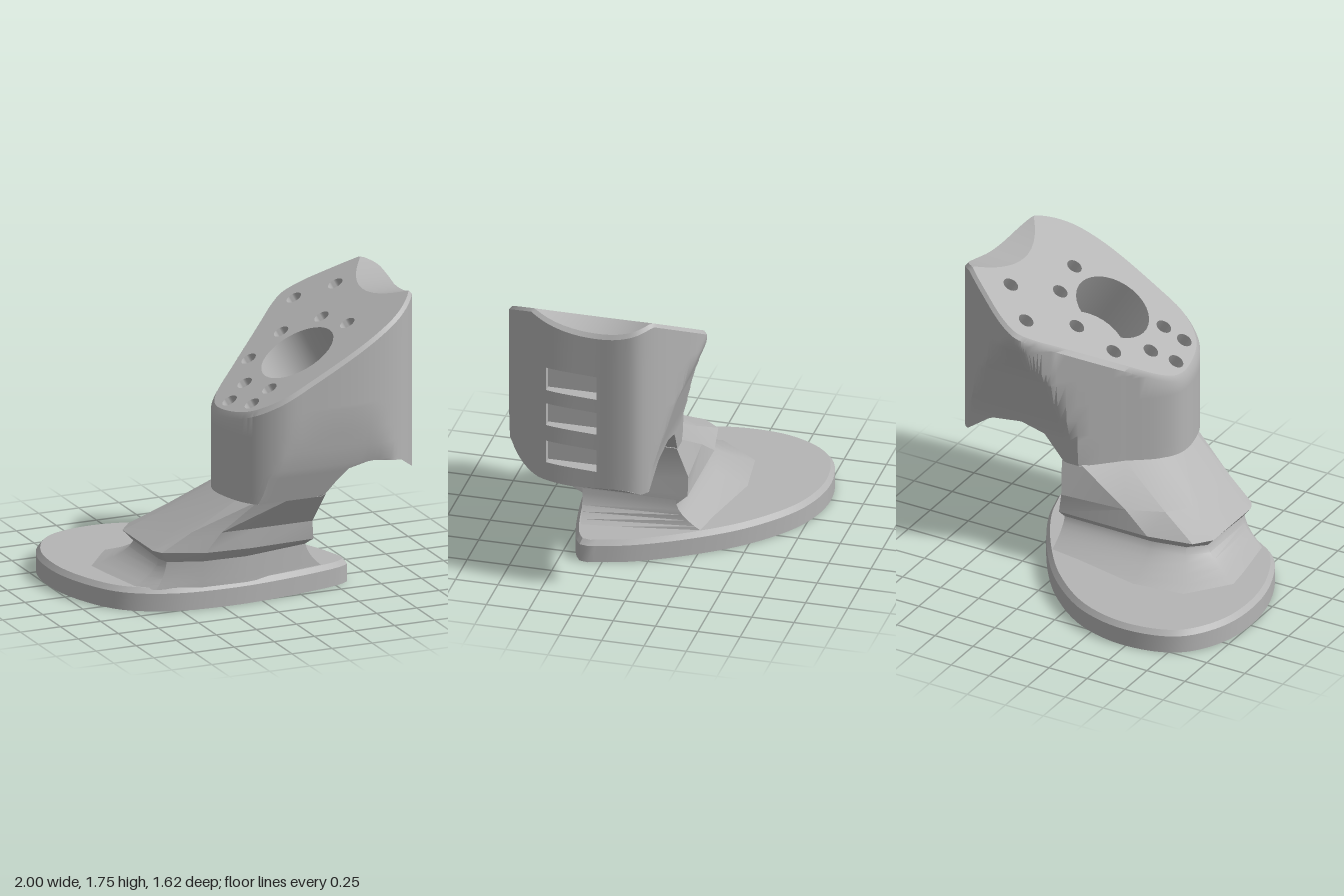
import * as THREE from 'three';
import { toCreasedNormals } from 'three/addons/utils/BufferGeometryUtils.js';

const grey = new THREE.MeshStandardMaterial({ color: 0xb4b4b4, side: THREE.DoubleSide });
grey.name = 'grey';

// Piecewise linear interpolation through [input, output] pairs
function interp(table, v) {
  for (let i = 1; i < table.length; i++) {
    const [a, fa] = table[i - 1], [b, fb] = table[i];
    if (v <= b) return fa + (fb - fa) * Math.max(0, (v - a) / (b - a));
  }
  return table[table.length - 1][1];
}

// Skin a stack of rings (arrays of Vector3), optionally closed, capped or with cells left out
function skin(rings, { closed = true, capStart = false, capEnd = false, skip = () => false, crease = 0.55 } = {}) {
  const pos = [];
  const tri = (a, b, c) => {
    const area = b.clone().sub(a).cross(c.clone().sub(a)).length();
    if (area > 1e-7) for (const p of [a, b, c]) pos.push(p.x, p.y, p.z);
  };
  const n = rings[0].length, cells = closed ? n : n - 1;
  for (let k = 0; k < rings.length - 1; k++) {
    for (let i = 0; i < cells; i++) {
      if (skip(i, k)) continue;
      const j = (i + 1) % n, lo = rings[k], hi = rings[k + 1];
      tri(lo[i], lo[j], hi[j]);
      tri(lo[i], hi[j], hi[i]);
    }
  }
  const fan = (ring, flip) => {
    const c = ring.reduce((s, p) => s.add(p), new THREE.Vector3()).divideScalar(n);
    ring.forEach((p, i) => {
      const q = ring[(i + 1) % n];
      if (flip) tri(q, p, c); else tri(p, q, c);
    });
  };
  if (capStart) fan(rings[0], true);
  if (capEnd) fan(rings[rings.length - 1], false);
  const geo = new THREE.BufferGeometry();
  geo.setAttribute('position', new THREE.Float32BufferAttribute(pos, 3));
  return toCreasedNormals(geo, crease);
}

const level = (pts, y) => pts.map(([x, z]) => new THREE.Vector3(x, y, z));
const inset = (ring, cx, cz, d, y) => ring.map((p) => {
  const dir = new THREE.Vector2(cx - p.x, cz - p.z).setLength(d);
  return new THREE.Vector3(p.x + dir.x, y ?? p.y, p.z + dir.y);
});

// Upper block: outline in x, z and its limits in height and depth
const OUTLINE = [[-0.15, 0.65], [0, 0.77], [0.2, 0.8], [0.55, 0.8], [0.75, 0.74], [0.88, 0.62], [0.945, 0.48],
  [0.985, 0.17], [0.998, 0.03], [0.985, -0.06], [0.93, -0.13], [0.75, -0.25], [0.6, -0.33], [0.5, -0.35],
  [0.42, -0.31], [0.3, -0.21], [0, 0.05], [-0.17, 0.21], [-0.22, 0.3], [-0.225, 0.42]];
const STEPS = 6, SLOT_A = 6 * STEPS, SLOT_B = 7 * STEPS;
const SLOTS = [[0.8, 0.94], [1.04, 1.18], [1.265, 1.41]];
const SLOPE = 0.556;
const plane = (x) => 1.258 + SLOPE * x;
const scoop = (z) => 1.68 + 0.07 * ((z - 0.22) / 0.33) ** 2;
const topY = (x, z) => Math.min(plane(x), scoop(z));
const bottomY = (x) => interp([[-1, 0.64], [0.3, 0.64], [0.33, 0.68], [0.42, 0.8], [0.57, 0.84], [0.77, 0.81],
  [0.93, 0.69], [0.97, 0.68], [1, 0.71]], x);
const frontZ = (y) => interp([[0.64, 0.7], [0.84, 0.765], [1.2, 0.815]], y);
const backZ = (y) => interp([[0.64, -0.12], [0.84, -0.14], [1.2, -0.24], [1.45, -0.34], [1.5, -0.36]], y);
const trimZ = (z, y) => THREE.MathUtils.clamp(z, backZ(y), frontZ(y));

// Holes in the sloping face: x, z, radius, depth
const HOLES = [[0.275, 0.39, 0.23, 0.31], ...[[0.51, -0.19], [0.7, -0.035], [0.32, 0.06], [0.1, 0.1], [0.51, 0.2],
  [-0.02, 0.315], [-0.145, 0.385], [0.56, 0.45], [0.03, 0.55], [-0.09, 0.575]].map(([x, z]) => [x, z, 0.046, 0.09])];

export function createModel() {
  const model = new THREE.Group();
  model.name = 'bracket';
  const add = (name, geo) => {
    const mesh = new THREE.Mesh(geo, grey);
    mesh.name = name;
    model.add(mesh);
    return mesh;
  };

  // Leaf-shaped foot plate with a bevelled upper rim
  const leaf = new THREE.CatmullRomCurve3(level([[0.6, 0.33], [0.53, 0.1], [0.35, -0.23], [0.12, -0.52], [-0.18, -0.74],
    [-0.5, -0.81], [-0.8, -0.73], [-0.96, -0.5], [-1, -0.2], [-0.94, 0.1], [-0.8, 0.35], [-0.55, 0.49], [-0.2, 0.53],
    [0.15, 0.5], [0.52, 0.42], [0.59, 0.38]], 0)).getPoints(90);
  const atY = (y) => leaf.map((p) => new THREE.Vector3(p.x, y, p.z));
  add('footPlate', skin([atY(0), atY(0.105), inset(leaf, -0.3, -0.1, 0.025, 0.135)], { capStart: true, capEnd: true }));

  // Neck flaring into the foot plate
  const neckTop = [[-0.56, 0.44], [-0.37, 0.51], [-0.1, 0.52], [0.3, 0.44], [0.3, -0.11], [-0.28, -0.12], [-0.48, -0.08],
    [-0.57, 0], [-0.58, 0.38]];
  const neckFoot = [[-0.63, 0.45], [-0.37, 0.51], [-0.1, 0.52], [0.42, 0.42], [0.3, -0.27], [-0.3, -0.4], [-0.62, -0.36],
    [-0.82, -0.1], [-0.74, 0.36]];
  const neck = [];
  for (let k = 0; k <= 6; k++) {
    const s = (1 - k / 6) ** 2;
    neck.push(level(neckTop.map(([x, z], i) => [x + (neckFoot[i][0] - x) * s, z + (neckFoot[i][1] - z) * s]),
      0.125 + 0.185 * k / 6));
  }
  add('neck', skin(neck));

  // Knee: leaning block between the neck and the upper block
  const kneeWide = [[-0.6, 0.46], [-0.37, 0.56], [-0.1, 0.58], [0.3, 0.56], [0.3, -0.18], [-0.28, -0.18], [-0.55, -0.13],
    [-0.63, -0.03], [-0.63, 0.4]];
  const kneeMid = [[-0.43, 0.5], [-0.28, 0.575], [-0.06, 0.58], [0.285, 0.58], [0.285, -0.18], [-0.12, -0.15],
    [-0.33, -0.06], [-0.44, 0.07], [-0.45, 0.38]];
  const kneeTop = [[-0.16, 0.56], [-0.08, 0.66], [0.1, 0.7], [0.315, 0.7], [0.315, -0.12], [0.2, -0.11], [0, 0.05],
    [-0.16, 0.22], [-0.19, 0.38]];
  add('knee', skin([level(neckTop, 0.28), level(kneeWide, 0.345), level(kneeMid, 0.46), level(kneeTop, 0.65)],
    { capStart: true, capEnd: true, crease: 0.3 }));

  // Upper block wall, trimmed front and back, with slot openings left out
  const curve = new THREE.CatmullRomCurve3(level(OUTLINE, 0), true);
  const count = OUTLINE.length * STEPS;
  const outline = Array.from({ length: count }, (_, i) => curve.getPoint(i / count));
  const levels = [-9, 0.7, 0.8, 0.84, 0.94, 1.04, 1.18, 1.2, 1.265, 1.41, 1.45, 1.5, 9];
  const wall = levels.map((l) => outline.map((p) => {
    const y = THREE.MathUtils.clamp(l, bottomY(p.x), topY(p.x, p.z) - 0.025);
    return new THREE.Vector3(p.x, y, trimZ(p.z, y));
  }));
  const rim = inset(outline, 0.4, 0.25, 0.02);
  rim.forEach((p) => { p.y = topY(p.x, p.z); });
  add('upperWall', skin([...wall, rim], {
    skip: (i, k) => {
      const mid = (levels[k] + levels[k + 1]) / 2;
      return i >= SLOT_A && i < SLOT_B && SLOTS.some(([a, b]) => mid > a && mid < b);
    },
  }));

  // Recessed slots in the side
  for (const [y0, y1] of SLOTS) {
    const cols = outline.slice(SLOT_A, SLOT_B + 1);
    const mouth = [...cols.map((p) => new THREE.Vector3(p.x, y0, p.z)),
      ...cols.map((p) => new THREE.Vector3(p.x, y1, p.z)).reverse()];
    const floor = mouth.map((p) => new THREE.Vector3(0.9, p.y, p.z));
    add('sideSlot', skin([mouth, floor], { capEnd: true }));
  }

  // Sloping face with holes, and the hollow at its high end
  const edge = rim.map((p) => {
    const x = Math.min(p.x, (scoop(p.z) - 1.258) / SLOPE);
    return new THREE.Vector3(x, plane(x), p.z);
  });
  add('topHollow', skin([rim, edge]));
  const face = new THREE.Shape(edge.map((p) => new THREE.Vector2(p.x, -p.z)));
  const tilt = Math.atan(SLOPE);
  for (const [x, z, r] of HOLES) {
    face.holes.push(new THREE.Path().absellipse(x, -z, r * Math.cos(tilt), r, 0, Math.PI * 2, true));
  }
  const faceGeo = new THREE.ShapeGeometry(face, 16).rotateX(-Math.PI / 2);
  const fp = faceGeo.attributes.position;
  for (let i = 0; i < fp.count; i++) fp.setY(i, plane(fp.getX(i)));
  faceGeo.computeVertexNormals();
  add('slopingFace', faceGeo);
  for (const [x, z, r, depth] of HOLES) {
    const profile = [[0, -depth], [r, -depth], [r, 0]].map(([a, b]) => new THREE.Vector2(a, b));
    const bore = add('bore', toCreasedNormals(new THREE.LatheGeometry(profile, 32), 0.6));
    bore.position.set(x, plane(x), z);
    bore.rotation.z = tilt;
  }

  // Arched underside of the upper block
  const span = (x) => {
    const zs = [];
    outline.forEach((p, i) => {
      const q = outline[(i + 1) % count];
      if ((p.x - x) * (q.x - x) <= 0 && p.x !== q.x) zs.push(p.z + (q.z - p.z) * (x - p.x) / (q.x - p.x));
    });
    const y = bottomY(x);
    return [Math.min(...zs), Math.max(...zs)].map((z) => new THREE.Vector3(x, y, trimZ(z, y)));
  };
  const xs = outline.map((p) => p.x);
  const x0 = Math.min(...xs) + 0.001, x1 = Math.max(...xs) - 0.001;
  const strips = Array.from({ length: 61 }, (_, i) => span(x0 + (x1 - x0) * i / 60));
  add('underside', skin(strips, { closed: false }));
  return model;
}
